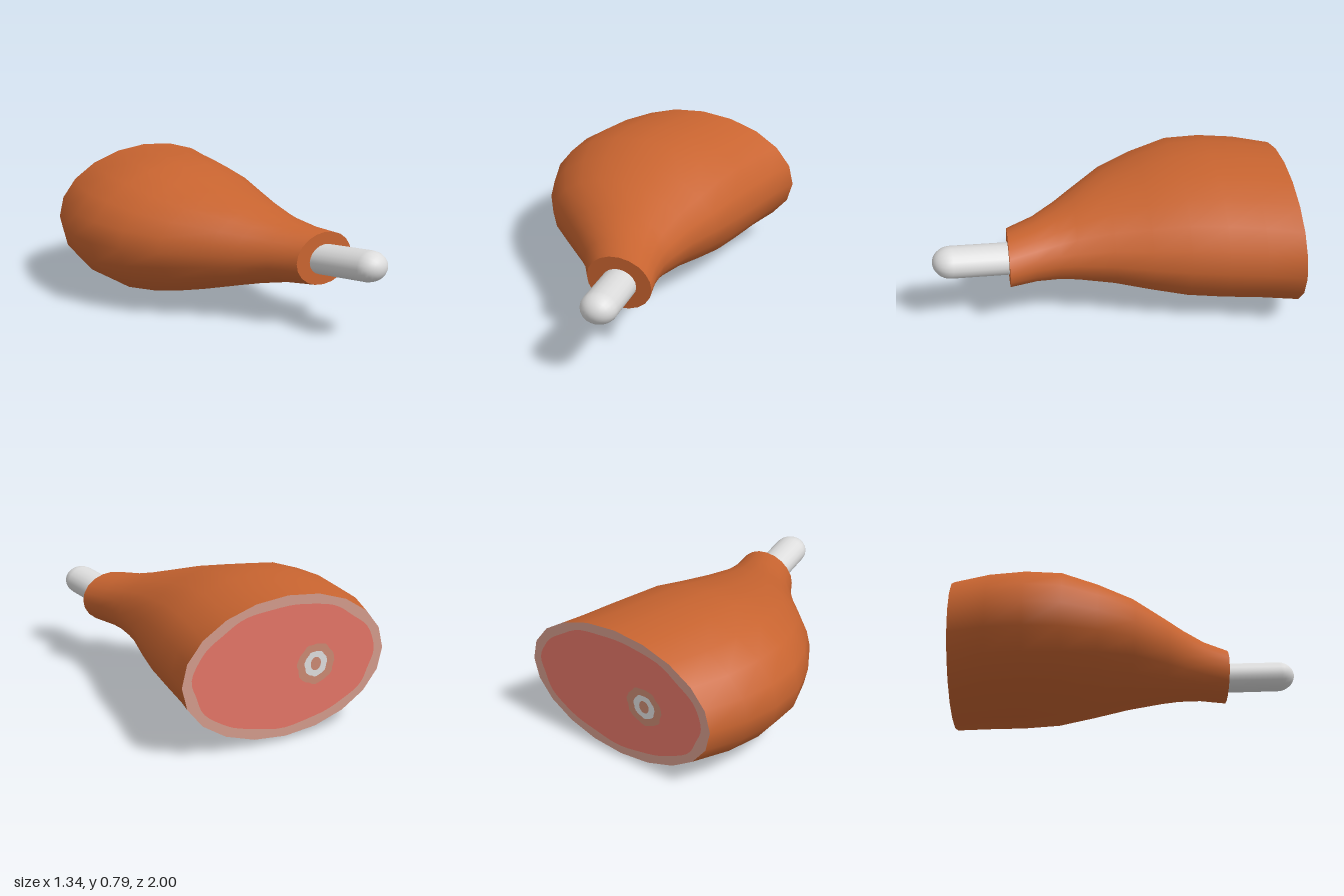
import * as THREE from 'three';

const SIDES = 20;

// [z, xMin, xMax, yMin, yMax] of each oval cross-section, from cut face to shank
const SECTIONS = [
  [-1.0, -0.55, 0.67, 0.025, 0.775],
  [-0.8, -0.635, 0.615, 0.01, 0.787],
  [-0.6, -0.672, 0.575, 0.002, 0.793],
  [-0.4, -0.665, 0.535, 0.012, 0.785],
  [-0.2, -0.59, 0.485, 0.063, 0.735],
  [0.0, -0.465, 0.43, 0.122, 0.685],
  [0.2, -0.26, 0.395, 0.182, 0.625],
  [0.3, -0.155, 0.388, 0.21, 0.595],
  [0.43, -0.035, 0.402, 0.238, 0.565],
  [0.58, 0.06, 0.44, 0.25, 0.55],
];

// Points of an oval, with an optional ragged edge
function oval(cx, cy, rx, ry, sides, ragged = 0) {
  return Array.from({ length: sides }, (_, j) => {
    const a = (j / sides) * Math.PI * 2;
    const k = 1 + ragged * (Math.sin(7 * a) + 0.7 * Math.sin(12 * a + 1));
    return new THREE.Vector2(cx + rx * k * Math.cos(a), cy + ry * k * Math.sin(a));
  });
}

function sectionOval([, x0, x1, y0, y1]) {
  return oval((x0 + x1) / 2, (y0 + y1) / 2, (x1 - x0) / 2, (y1 - y0) / 2, SIDES);
}

// Smooth skin lofted through the cross-sections
function loft(sections) {
  const positions = [], index = [];
  sections.forEach((s, i) => {
    for (const p of sectionOval(s)) positions.push(p.x, p.y, s[0]);
    if (i === 0) return;
    for (let j = 0; j < SIDES; j++) {
      const k = (j + 1) % SIDES, a = (i - 1) * SIDES, b = i * SIDES;
      index.push(a + j, a + k, b + j, a + k, b + k, b + j);
    }
  });
  const g = new THREE.BufferGeometry();
  g.setAttribute('position', new THREE.Float32BufferAttribute(positions, 3));
  g.setIndex(index);
  g.computeVertexNormals();
  return g;
}

// Flat face on the rear cut, facing -z, with an optional hole
function cutFace(outer, hole) {
  const flip = (pts) => pts.map((p) => new THREE.Vector2(-p.x, p.y));
  const shape = new THREE.Shape(flip(outer));
  if (hole) shape.holes.push(new THREE.Path(flip(hole)));
  return new THREE.ShapeGeometry(shape).rotateY(Math.PI).translate(0, 0, -1);
}

export function createModel() {
  const group = new THREE.Group();
  const material = (name, color) => {
    const m = new THREE.MeshStandardMaterial({ color });
    m.name = name;
    return m;
  };
  const skin = material('roasted skin', 0xc86430);
  const fat = material('pale fat', 0xd29a8a);
  const meat = material('pink meat', 0xe27466);
  const bone = material('bone', 0xdcdcdc);
  const gristle = material('gristle', 0xc98872);

  const add = (name, geometry, mat) => {
    const mesh = new THREE.Mesh(geometry, mat);
    mesh.name = name;
    group.add(mesh);
    return mesh;
  };

  // Skin and the flat end around the shank bone
  add('skin', loft(SECTIONS), skin);
  const end = SECTIONS[SECTIONS.length - 1];
  const endShape = new THREE.Shape(sectionOval(end));
  add('shankEnd', new THREE.ShapeGeometry(endShape).translate(0, 0, end[0]), skin);

  // Shank bone: slightly flattened capsule leaning outward
  const from = new THREE.Vector3(0.21, 0.363, 0.3);
  const to = new THREE.Vector3(0.297, 0.431, 0.897);
  const capsule = new THREE.CapsuleGeometry(0.1, from.distanceTo(to), 8, 20);
  capsule.rotateX(Math.PI / 2).scale(1, 0.85, 1);
  const shank = add('shankBone', capsule, bone);
  shank.position.copy(from).add(to).multiplyScalar(0.5);
  shank.lookAt(to);

  // Cut face: nested rings from the rim to the marrow
  const rings = [
    ['fatRim', fat, sectionOval(SECTIONS[0])],
    ['cutMeat', meat, oval(0.06, 0.4, 0.55, 0.322, 72, 0.011)],
    ['gristleRing', gristle, oval(-0.12, 0.385, 0.115, 0.108, 36, 0.03)],
    ['cutBone', bone, oval(-0.12, 0.385, 0.07, 0.068, 30, 0.03)],
    ['marrow', gristle, oval(-0.12, 0.385, 0.032, 0.036, 20)],
  ];
  rings.forEach(([name, mat, outline], i) => {
    add(name, cutFace(outline, rings[i + 1]?.[2]), mat);
  });

  return group;
}
